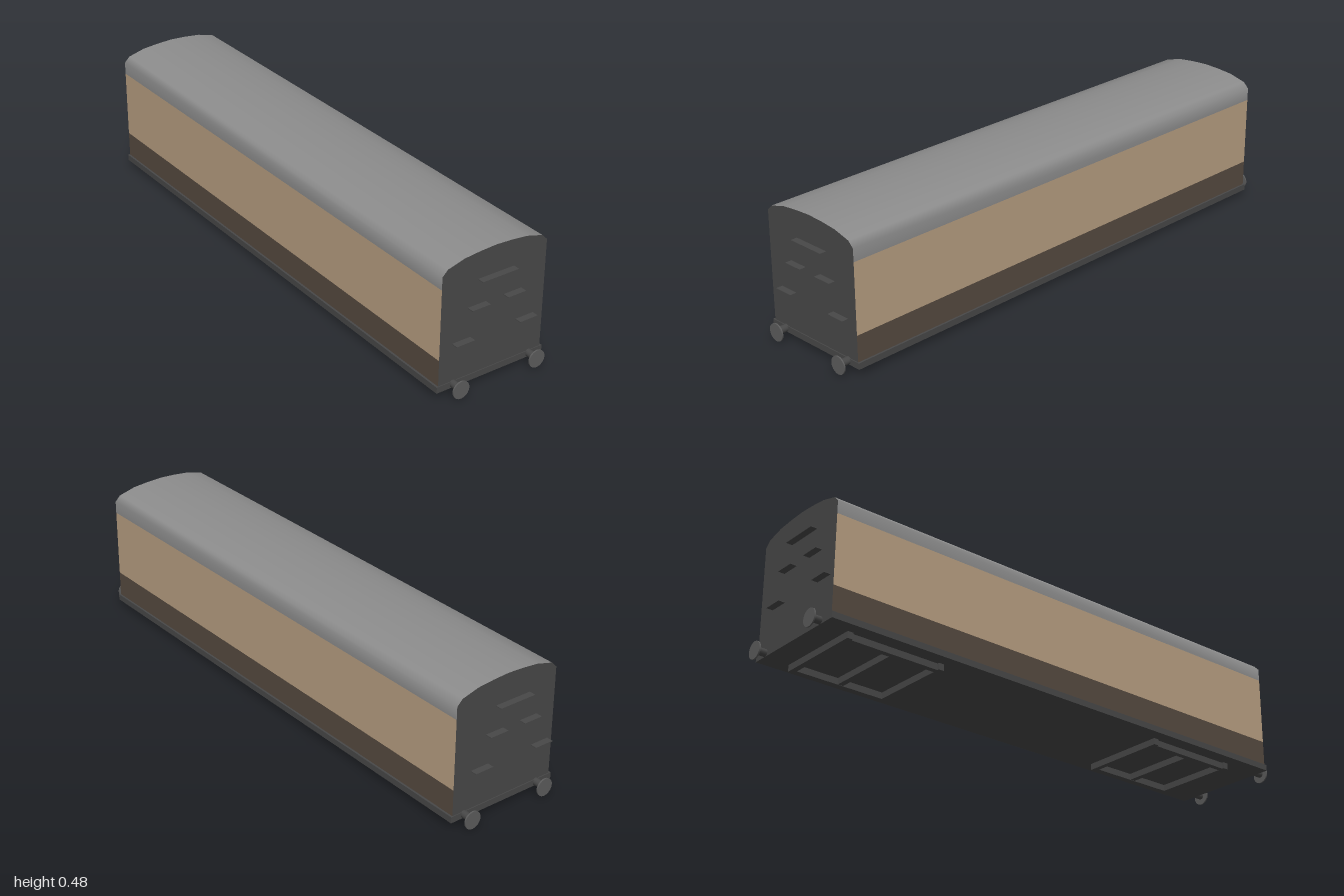
import * as THREE from 'three';

const HALF = 0.957; // half length of the car body
const W = 0.203;    // half width of the car body

const mat = (color) => new THREE.MeshStandardMaterial({ color });
const tan = mat(0xb89f82), brown = mat(0x564a40), roofGrey = mat(0x8c8c8c);
const dark = mat(0x484848), bufferGrey = mat(0x5c5c5c);

function add(parent, name, geometry, material, x = 0, y = 0, z = 0) {
  const mesh = new THREE.Mesh(geometry, material);
  mesh.name = name;
  mesh.position.set(x, y, z);
  parent.add(mesh);
  return mesh;
}

// Smooth strip swept along z from an [x, y] profile running from +x over to -x
function sweep(profile) {
  const pos = [], index = [];
  profile.forEach(([x, y], i) => {
    pos.push(x, y, HALF, x, y, -HALF);
    if (i) {
      const a = 2 * i - 2;
      index.push(a, a + 1, a + 2, a + 1, a + 3, a + 2);
    }
  });
  const g = new THREE.BufferGeometry();
  g.setAttribute('position', new THREE.Float32BufferAttribute(pos, 3));
  g.setIndex(index);
  g.computeVertexNormals();
  return g;
}

export function createModel() {
  const car = new THREE.Group();
  car.name = 'railCar';

  // Roof with rounded shoulders, mirrored about the centre line
  const half = [[W, 0.385], [W, 0.43], [0.183, 0.45], [0.12, 0.467], [0.06, 0.473]];
  const roof = [...half, [0, 0.476], ...half.map(([x, y]) => [-x, y]).reverse()];
  add(car, 'roof', sweep(roof), roofGrey);

  // Side walls in two colour bands
  add(car, 'leftUpperWall', sweep([[W, 0.137], [W, 0.385]]), tan);
  add(car, 'rightUpperWall', sweep([[-W, 0.385], [-W, 0.137]]), tan);
  add(car, 'leftLowerWall', sweep([[W, 0.04], [W, 0.137]]), brown);
  add(car, 'rightLowerWall', sweep([[-W, 0.137], [-W, 0.04]]), brown);

  // Underframe
  add(car, 'underframe', new THREE.BoxGeometry(0.42, 0.022, 2 * HALF + 0.006), dark, 0, 0.034, 0);

  // Ends with steps and buffers
  const endShape = new THREE.Shape([[W, 0.04], ...roof, [-W, 0.04]].map(([x, y]) => new THREE.Vector2(x, y)));
  const steps = [[0.005, 0.377, 0.14], [-0.065, 0.288, 0.07], [0.075, 0.288, 0.07],
    [-0.12, 0.18, 0.07], [0.13, 0.18, 0.07]];
  for (const s of [1, -1]) {
    const end = new THREE.Group();
    end.name = s > 0 ? 'frontEnd' : 'backEnd';
    car.add(end);
    const wall = add(end, 'endWall', new THREE.ShapeGeometry(endShape), dark, 0, 0, s * HALF);
    if (s < 0) wall.rotation.y = Math.PI;
    for (const [x, y, w] of steps) {
      const sx = s > 0 ? x : -x - 0.02;
      add(end, 'step', new THREE.BoxGeometry(w, 0.003, 0.024), dark, sx, y, s * (HALF + 0.012));
    }
    for (const x of [-0.146, 0.157]) {
      const shaft = add(end, 'bufferShaft', new THREE.CylinderGeometry(0.013, 0.013, 0.04, 16), dark, x, 0.036, s * 0.976);
      const disc = add(end, 'bufferDisc', new THREE.CylinderGeometry(0.031, 0.031, 0.005, 32), bufferGrey, x, 0.034, s * 0.9975);
      shaft.rotation.x = disc.rotation.x = Math.PI / 2;
    }
  }

  // Open bogie frames: two rails joined by three crossbars
  for (const [name, z] of [['frontBogieFrame', 0.615], ['backBogieFrame', -0.685]]) {
    const frame = new THREE.Group();
    frame.name = name;
    frame.position.set(-0.002, 0.0125, z);
    car.add(frame);
    for (const x of [0.152, -0.145])
      add(frame, 'rail', new THREE.BoxGeometry(0.02, 0.025, 0.36), dark, x);
    for (const dz of [-0.175, 0, 0.175])
      add(frame, 'crossbar', new THREE.BoxGeometry(dz ? 0.325 : 0.28, 0.025, 0.02), dark, 0, 0, dz);
  }
  return car;
}
